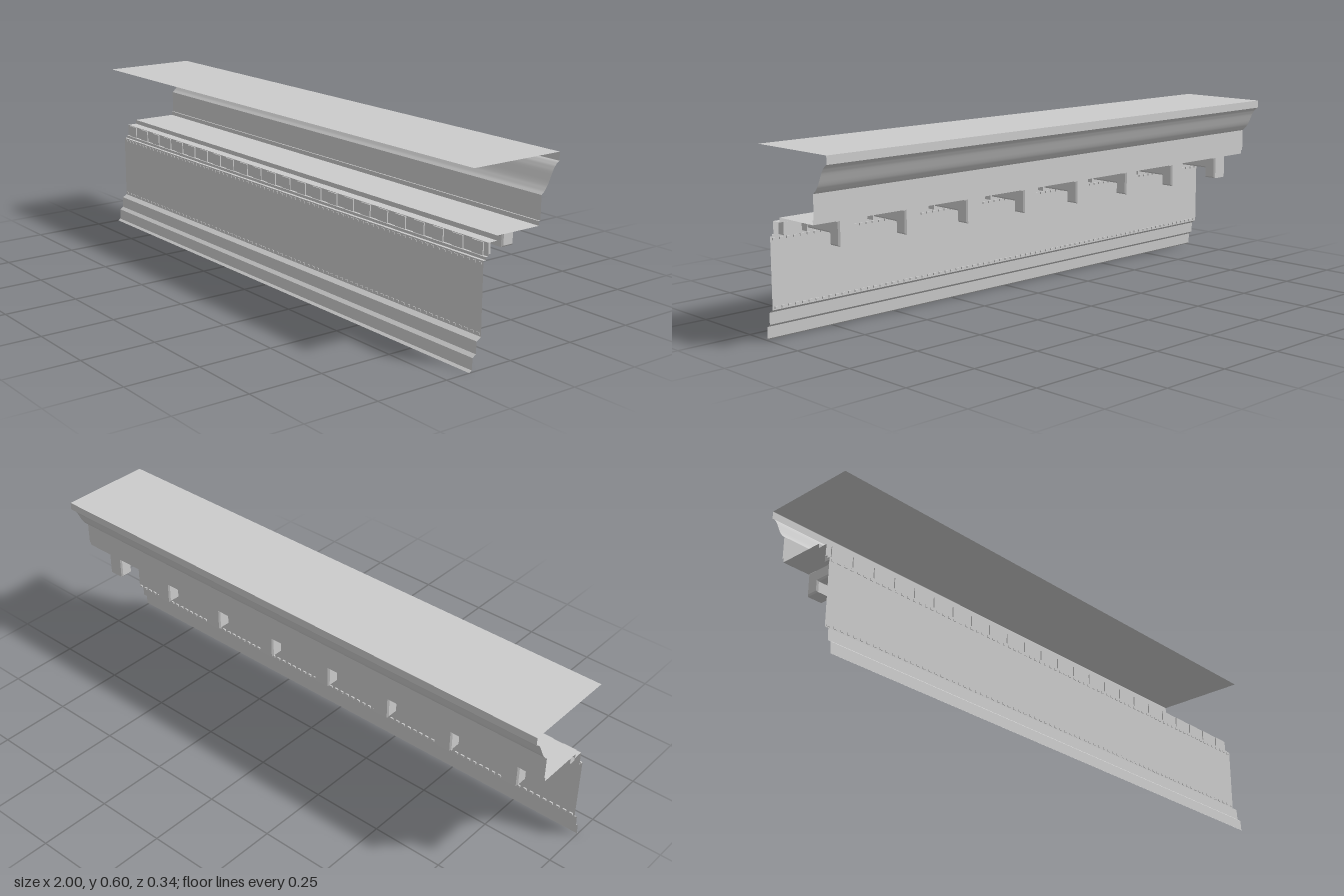
import * as THREE from 'three';
import { mergeGeometries, toCreasedNormals } from 'three/addons/utils/BufferGeometryUtils.js';

const shellMaterial = new THREE.MeshStandardMaterial({ color: 0xcccccc, side: THREE.DoubleSide });
const solidMaterial = new THREE.MeshStandardMaterial({ color: 0xcccccc });

// Open moulding: sweeps a [z, y] profile, listed from top to bottom, along x
function moulding(name, profile) {
  const positions = [];
  for (let i = 0; i < profile.length - 1; i++) {
    const [z0, y0] = profile[i], [z1, y1] = profile[i + 1];
    const a = [-1, y0, z0], b = [1, y0, z0], c = [1, y1, z1], d = [-1, y1, z1];
    positions.push(...a, ...b, ...c, ...a, ...c, ...d);
  }
  const geometry = new THREE.BufferGeometry();
  geometry.setAttribute('position', new THREE.Float32BufferAttribute(positions, 3));
  geometry.computeVertexNormals();
  const mesh = new THREE.Mesh(toCreasedNormals(geometry, 0.45), shellMaterial);
  mesh.name = name;
  return mesh;
}

// Evenly spaced boxes along the full length, merged into one mesh
function boxRow(name, count, size, y, z) {
  const boxes = [];
  for (let i = 0; i < count; i++) {
    const x = -1 + (2 * (i + 0.5)) / count;
    boxes.push(new THREE.BoxGeometry(...size).translate(x, y, z));
  }
  const mesh = new THREE.Mesh(mergeGeometries(boxes), solidMaterial);
  mesh.name = name;
  return mesh;
}

// L-shaped bracket with chamfered edges
function bracketGeometry() {
  const bevel = 0.005, width = 0.062;
  const outline = [
    [0.063, 0.386], [0.063, 0.353], [-0.049, 0.353],
    [-0.049, 0.317], [-0.086, 0.317], [-0.086, 0.386],
  ].map(([z, y]) => new THREE.Vector2(z, y));
  const geometry = new THREE.ExtrudeGeometry(new THREE.Shape(outline), {
    depth: width - 2 * bevel, bevelEnabled: true,
    bevelSize: bevel, bevelThickness: bevel, bevelSegments: 1,
  });
  return geometry.translate(0, 0, bevel - width / 2).rotateY(-Math.PI / 2);
}

export function createModel() {
  const group = new THREE.Group();
  group.name = 'cornice';

  // Crown: flat top, fillet and S-curve
  const curve = new THREE.CubicBezierCurve(
    new THREE.Vector2(-0.165, 0.572), new THREE.Vector2(-0.135, 0.555),
    new THREE.Vector2(-0.135, 0.505), new THREE.Vector2(-0.1, 0.482));
  group.add(moulding('crown', [
    [0.168, 0.6], [-0.168, 0.6], [-0.168, 0.573],
    ...curve.getPoints(14).map((p) => [p.x, p.y]),
  ]));

  // Corona with drip edge and soffit
  group.add(moulding('corona', [
    [-0.1, 0.482], [-0.1, 0.405], [-0.095, 0.405], [-0.095, 0.391], [0.07, 0.391],
  ]));

  // Bed moulding behind the dentils
  group.add(moulding('bedMoulding', [
    [0.07, 0.391], [0.07, 0.376], [0.104, 0.376], [0.104, 0.335],
    [0.112, 0.335], [0.112, 0.326], [0.122, 0.326],
  ]));

  // Plain frieze and stepped bands beneath it
  group.add(moulding('frieze', [[0.122, 0.326], [0.122, 0.1]]));
  group.add(moulding('architrave', [
    [0.122, 0.1], [0.138, 0.09], [0.14, 0.052], [0.152, 0.043],
    [0.154, 0.006], [0.163, 0],
  ]));

  // Brackets under the soffit
  const bracket = bracketGeometry();
  for (let i = 0; i < 8; i++) {
    const mesh = new THREE.Mesh(bracket, solidMaterial);
    mesh.name = 'bracket';
    mesh.position.x = -0.875 + i * 0.25;
    group.add(mesh);
  }

  // Dentils and two rows of tiny beads
  group.add(boxRow('dentils', 24, [0.046, 0.04, 0.03], 0.354, 0.093));
  group.add(boxRow('upperBeads', 80, [0.012, 0.007, 0.007], 0.318, 0.1205));
  group.add(boxRow('lowerBeads', 80, [0.012, 0.007, 0.007], 0.108, 0.1205));

  return group;
}
